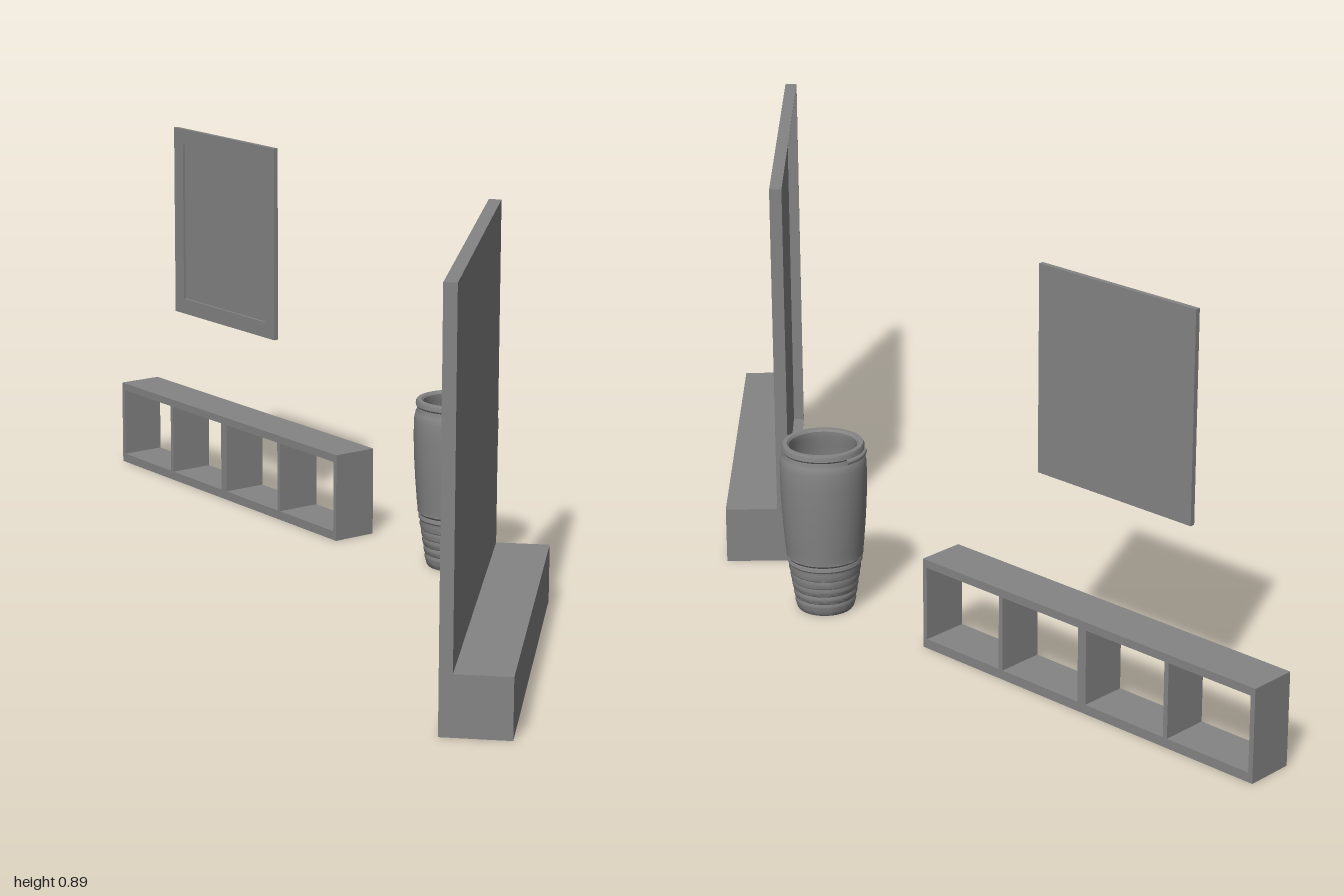
import * as THREE from 'three';
import { toCreasedNormals } from 'three/addons/utils/BufferGeometryUtils.js';

const material = new THREE.MeshStandardMaterial({ color: 0x848484 });

function add(parent, name, geometry, x = 0, y = 0, z = 0) {
  const mesh = new THREE.Mesh(geometry, material);
  mesh.name = name;
  mesh.position.set(x, y, z);
  parent.add(mesh);
  return mesh;
}

// Box given by its lower and upper corners
function box(parent, name, [x0, y0, z0], [x1, y1, z1]) {
  return add(parent, name, new THREE.BoxGeometry(x1 - x0, y1 - y0, z1 - z0),
    (x0 + x1) / 2, (y0 + y1) / 2, (z0 + z1) / 2);
}

function group(parent, name) {
  const g = new THREE.Group();
  g.name = name;
  parent.add(g);
  return g;
}

// Tall panel, a thin sheet with a rim open to the back, and a low plinth along its foot
function buildPanel(root) {
  const g = group(root, 'panelWithPlinth');
  const back = 0.437, sheet = 0.462, front = 0.464, top = 0.88, z0 = 0.103, z1 = 1, t = 0.002;
  box(g, 'panelSheet', [sheet, 0, z0], [front, top, z1]);
  box(g, 'panelTopRim', [back, top - t, z0], [sheet, top, z1]);
  box(g, 'panelBottomRim', [back, 0, z0], [sheet, t, z1]);
  box(g, 'panelBackRim', [back, t, z0], [sheet, top - t, z0 + t]);
  box(g, 'panelFrontRim', [back, t, z1 - t], [sheet, top - t, z1]);
  box(g, 'plinth', [front, 0, z0], [0.58, 0.127, z1]);
}

// Open vase: ribbed foot, swelling shoulder, hollow inside
function buildVase(root) {
  const g = group(root, 'vase');
  g.position.set(0.349, 0, -0.141);
  const profile = [[0, 0], [0.06, 0], [0.063, 0.004]];
  for (let i = 0; i < 5; i++) {
    const y = 0.012 + i * 0.019, r = 0.065 + i * 0.003;
    profile.push([r, y], [r + 0.002, y + 0.007], [r + 0.002, y + 0.013], [r + 0.001, y + 0.017]);
  }
  profile.push(
    [0.079, 0.108], [0.082, 0.112], [0.082, 0.118], [0.08, 0.121], [0.084, 0.126], [0.084, 0.132],
    [0.086, 0.15], [0.09, 0.2], [0.093, 0.25], [0.0945, 0.3], [0.094, 0.34], [0.091, 0.356],
    [0.087, 0.362], [0.087, 0.368], [0.09, 0.372], [0.09, 0.38], [0.087, 0.385],
    [0.078, 0.385], [0.074, 0.38], [0.074, 0.366], [0.08, 0.345], [0.083, 0.3], [0.079, 0.2],
    [0.071, 0.12], [0.054, 0.02], [0, 0.02]);
  const lathe = new THREE.LatheGeometry(profile.map(([r, y]) => new THREE.Vector2(r, y)), 48);
  add(g, 'vaseBody', toCreasedNormals(lathe, 0.6));
  // Two opposite curved lugs under the rim
  const arc = 0.9;
  for (const a of [0.5, 0.5 + Math.PI]) {
    const lug = new THREE.TorusGeometry(0.09, 0.006, 8, 16, arc);
    lug.rotateX(Math.PI / 2);
    lug.rotateY(arc / 2 - a);
    add(g, 'vaseLug', lug, 0, 0.366, 0);
  }
}

// Low open shelf made of two joined units with two bays each
function buildShelf(corner) {
  const g = group(corner, 'openShelf');
  const d = 0.0535, t = 0.011;
  for (const [name, x0, x1] of [['rightShelfUnit', -0.449, 0], ['leftShelfUnit', 0, 0.454]]) {
    const unit = group(g, name);
    box(unit, 'shelfBottom', [x0, 0, -d], [x1, 0.021, d]);
    box(unit, 'shelfTop', [x0, 0.187, -d], [x1, 0.205, d]);
    for (const x of [x0, (x0 + x1 - t) / 2, x1 - t]) {
      box(unit, 'shelfUpright', [x, 0.021, -d], [x + t, 0.187, d]);
    }
  }
}

// Framed picture hanging over the shelf front
function buildPicture(corner) {
  const g = group(corner, 'framedPicture');
  g.position.set(0.0165, 0.6625, 0.052);
  const w = 0.206, h = 0.2265, b = 0.037, depth = 0.011;
  const rect = (Type, x, y) => new Type([[-x, -y], [x, -y], [x, y], [-x, y]].map(p => new THREE.Vector2(...p)));
  const frame = rect(THREE.Shape, w, h);
  frame.holes.push(rect(THREE.Path, w - b, h - b));
  add(g, 'pictureFrame', new THREE.ExtrudeGeometry(frame, { depth, bevelEnabled: false }));
  box(g, 'pictureBoard', [-w + b, -h + b, 0], [w - b, h - b, 0.005]);
}

export function createModel() {
  const root = new THREE.Group();
  root.name = 'roomSet';
  buildPanel(root);
  buildVase(root);

  // Shelf and picture stand turned by 45 degrees
  const corner = group(root, 'shelfCorner');
  corner.position.set(-0.2245, 0, -0.645);
  corner.rotation.y = -Math.PI / 4;
  buildShelf(corner);
  buildPicture(corner);
  return root;
}
